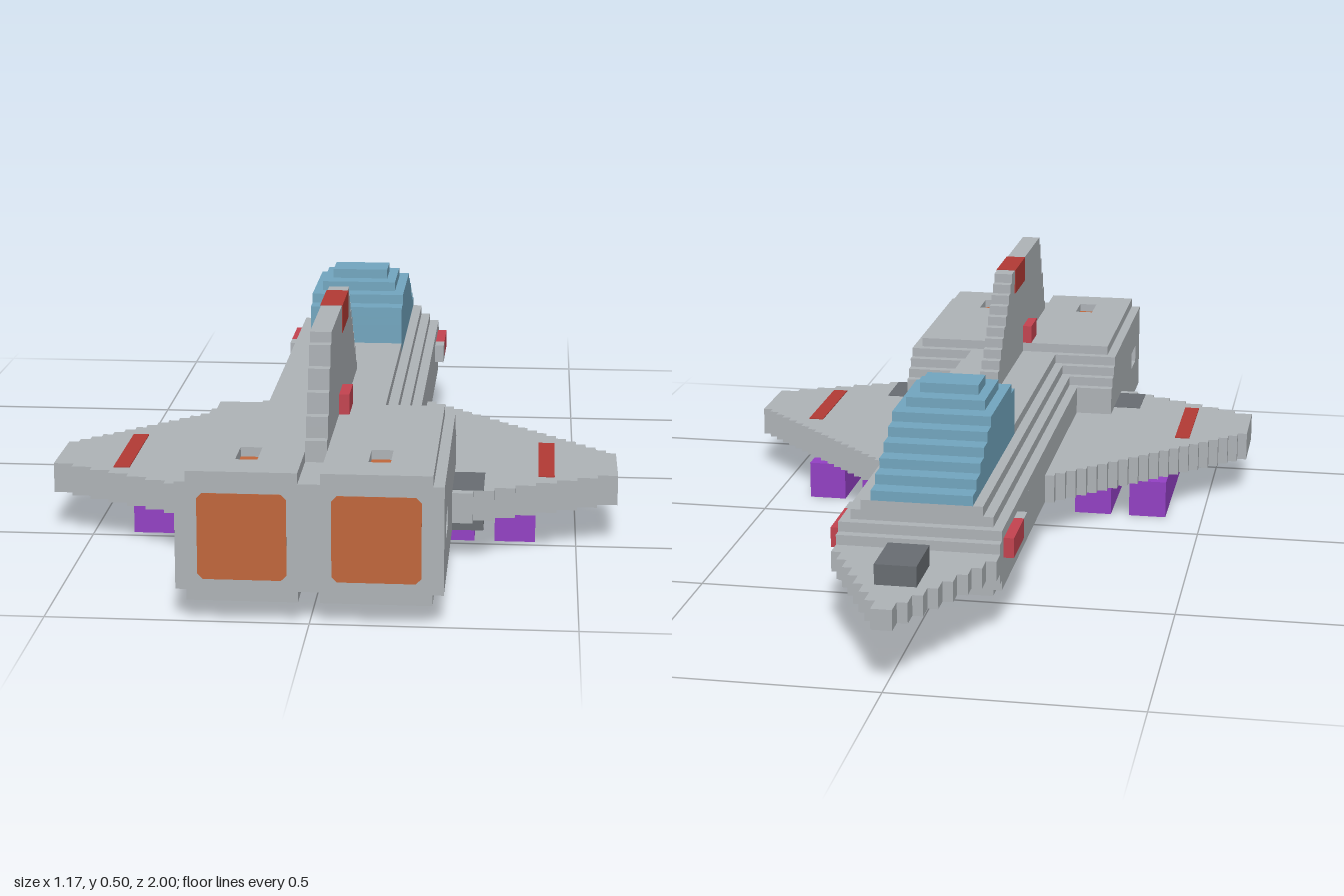
import * as THREE from 'three';

const U = 1 / 48; // one block of the grid

const mat = (name, color) => {
  const m = new THREE.MeshStandardMaterial({ color });
  m.name = name;
  return m;
};

export function createModel() {
  const grey = mat('hull grey', 0xaeb3b7);
  const dark = mat('dark grey', 0x686d72);
  const blue = mat('canopy blue', 0x72a6bf);
  const orange = mat('engine orange', 0xc0663a);
  const purple = mat('pod purple', 0x9340c4);
  const red = mat('marking red', 0xb23a34);
  const pink = mat('cannon red', 0xc4434f);
  const teal = mat('sensor teal', 0x36aa9e);

  const model = new THREE.Group();
  model.name = 'spaceship';

  const group = (name) => {
    const g = new THREE.Group();
    g.name = name;
    model.add(g);
    return g;
  };
  const add = (parent, name, geo, material) => {
    const m = new THREE.Mesh(geo, material);
    m.name = name;
    parent.add(m);
    return m;
  };
  // Box from its limits, in blocks
  const box = (parent, name, material, x0, x1, y0, y1, z0, z1) => {
    const g = new THREE.BoxGeometry((x1 - x0) * U, (y1 - y0) * U, (z1 - z0) * U);
    g.translate((x0 + x1) * U / 2, (y0 + y1) * U / 2, (z0 + z1) * U / 2);
    return add(parent, name, g, material);
  };
  // The same box on both sides
  const pair = (parent, name, material, x0, x1, ...rest) => {
    box(parent, name + 'Left', material, x0, x1, ...rest);
    box(parent, name + 'Right', material, -x1, -x0, ...rest);
  };
  const extrude = (points, depth) => new THREE.ExtrudeGeometry(
    new THREE.Shape(points.map(([x, y]) => new THREE.Vector2(x * U, y * U))),
    { depth: depth * U, bevelEnabled: false });

  // Fuselage: stepped layers [halfWidth, y0, y1, zFront]
  const hull = group('fuselage');
  [[7, 3, 4, -30], [8, 4, 5, -31], [8, 5, 9, -32], [8, 9, 10, -31],
    [7, 10, 11, -30], [6, 11, 12, -30], [5, 12, 13, -6]].forEach(([w, y0, y1, z]) =>
    box(hull, 'fuselageLayer', grey, -w, w, y0, y1, z, 25));

  // Nose: stepped point with sensors
  const nose = group('nose');
  for (let w = 1; w <= 8; w++) {
    box(nose, 'noseStep', grey, -w, w, 6, 8, -50 + 2 * w, -48 + 2 * w);
  }
  box(nose, 'noseBlock', dark, -2, 2, 8, 10, -42, -36);
  box(nose, 'chinSensor', teal, -2, 2, 4, 6, -36, -32);

  // Canopy: layers [halfWidth, zFront, zBack] from y = 12 up
  const canopy = group('canopy');
  [[5, -30, -6], [5, -28, -6], [5, -26, -6], [5, -24, -6], [5, -22, -6],
    [5, -20, -8], [4, -18, -10], [3, -16, -12]].forEach(([w, z0, z1], i) =>
    box(canopy, 'canopyLayer', blue, -w, w, 12 + i, 13 + i, z0, z1));

  // Side cannons
  const cannons = group('sideCannons');
  pair(cannons, 'cannon', pink, 7.9, 9, 7, 9, -30, -24);
  pair(cannons, 'cannonMount', grey, 7.9, 9, 7, 9, -24, -22);

  // Engine block: plain ends and a middle slice with vent recesses
  const engine = group('engineBlock');
  const plain = [[1, 3], [1, 2], [11, 2], [11, 3], [12, 3], [12, 13], [11, 13],
    [11, 14], [1, 14], [1, 13]];
  const vented = [[1, 3], [1, 2], [5, 2], [5, 3], [7, 3], [7, 2], [11, 2], [11, 3],
    [12, 3], [12, 7], [11, 7], [11, 9], [12, 9], [12, 13], [11, 13], [11, 14],
    [7, 14], [7, 13], [5, 13], [5, 14], [1, 14], [1, 13]];
  [[plain, 24, 40], [vented, 40, 44], [plain, 44, 48]].forEach(([half, z0, z1]) => {
    const mirrored = half.map(([x, y]) => [-x, y]).reverse();
    const geo = extrude([...half, ...mirrored], z1 - z0);
    geo.translate(0, 0, z0 * U);
    add(engine, 'engineSection', geo, grey);
  });
  [[3, 10, 20], [10, 11, 21], [11, 12, 22], [12, 13, 23]].forEach(([y0, y1, z]) =>
    box(engine, 'engineStep', grey, -12, 12, y0, y1, z, 24));
  pair(engine, 'topVent', orange, 5, 7, 12.9, 13.1, 40, 44);
  pair(engine, 'bottomVent', orange, 5, 7, 2.9, 3.1, 40, 44);
  pair(engine, 'sideVent', orange, 10.9, 11.1, 7, 9, 40, 44);

  // Exhaust panels with clipped corners
  const c = 0.5;
  const panel = [[2 + c, 4], [10 - c, 4], [10, 4 + c], [10, 12 - c], [10 - c, 12],
    [2 + c, 12], [2, 12 - c], [2, 4 + c]];
  for (const s of [1, -1]) {
    const geo = extrude(panel.map(([x, y]) => [x * s, y]), 0.1);
    geo.translate(0, 0, 47.95 * U);
    add(engine, s > 0 ? 'exhaustLeft' : 'exhaustRight', geo, orange);
  }

  // Tail fin: one row per block of height
  const fin = group('tailFin');
  for (let i = 0; i <= 10; i++) {
    box(fin, 'finRow', grey, -1, 1, 13 + i, 14 + i, 6 + i, 41 - Math.floor(i / 2));
  }
  box(fin, 'finMarking', red, -1.08, 1.08, 21.3, 24.05, 18, 24.8);
  box(fin, 'finBeacon', pink, -2, 2, 14, 16, 24, 28);

  // Wings: stepped outline laid flat, with stripe, pods and root blocks
  const wings = group('wings');
  const outline = [[7, -4]];
  for (let x = 8; x < 28; x++) outline.push([x, x - 12], [x + 1, x - 12]);
  for (let k = 7; k >= 0; k--) outline.push([14 + 2 * k, 30 - k], [12 + 2 * k, 30 - k]);
  outline.push([7, 30]);
  for (const s of [1, -1]) {
    const geo = extrude(outline.map(([x, z]) => [x * s, -z]), 3);
    geo.rotateX(-Math.PI / 2);
    geo.translate(0, 4 * U, 0);
    add(wings, s > 0 ? 'wingLeft' : 'wingRight', geo, grey);
  }
  pair(wings, 'wingStripe', red, 20.2, 21.8, 6.9, 7.1, 12, 24);
  pair(wings, 'wingRootBlock', dark, 11, 15, 3, 7.05, 23, 29);
  pair(wings, 'innerPod', purple, 10, 14, 0, 4, 5, 23);
  pair(wings, 'outerPod', purple, 16, 20, 0, 4, 5, 23);

  return model;
}
